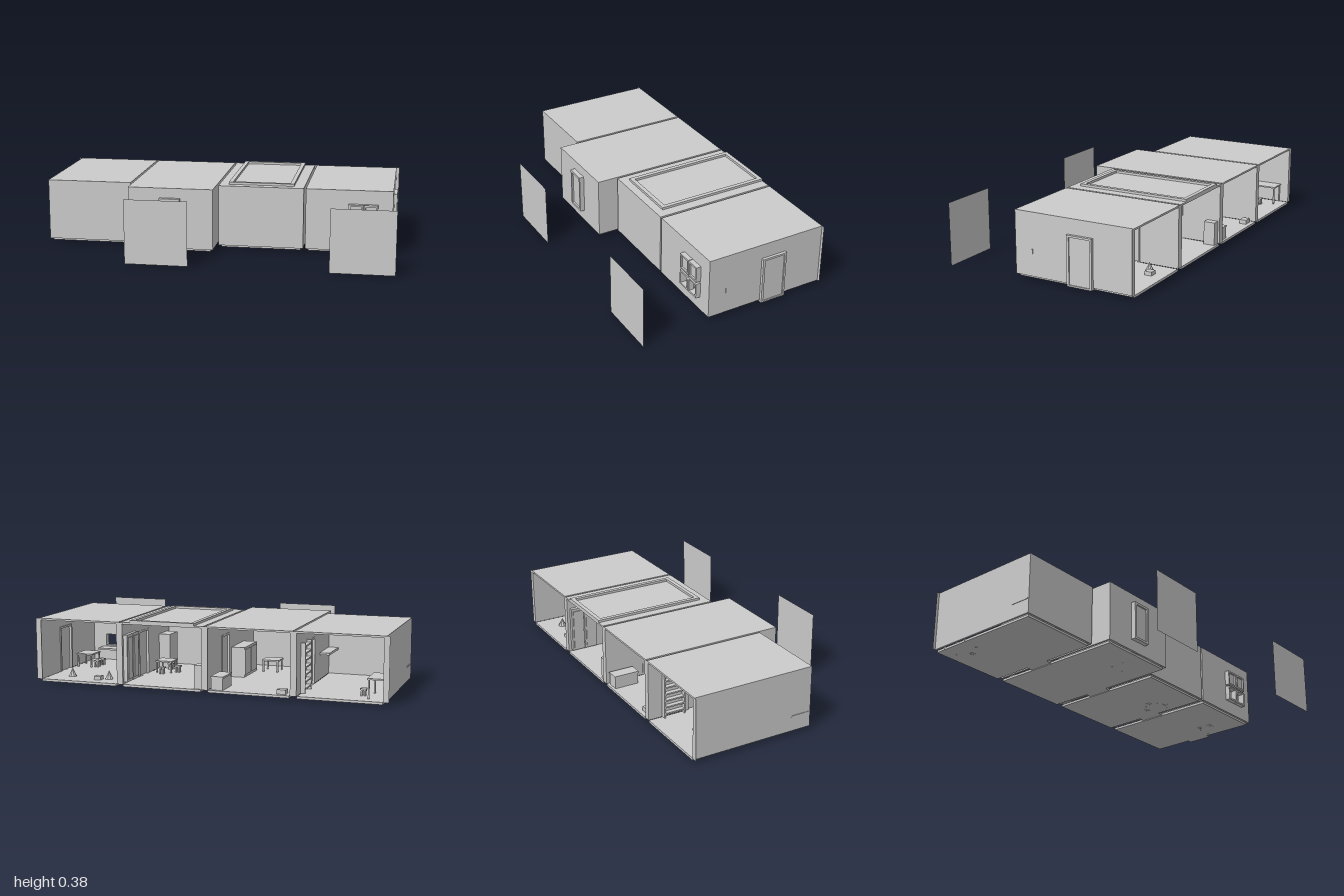
import * as THREE from 'three';

const grey = new THREE.MeshStandardMaterial({ color: 0xcccccc, flatShading: true, side: THREE.DoubleSide });
const BACK = -0.545, TOP = 0.362, T = 0.011;

// Box given by its min and max on each axis
function box(parent, name, x0, x1, y0, y1, z0, z1) {
  const m = new THREE.Mesh(new THREE.BoxGeometry(x1 - x0, y1 - y0, z1 - z0), grey);
  m.position.set((x0 + x1) / 2, (y0 + y1) / 2, (z0 + z1) / 2);
  m.name = name;
  parent.add(m);
  return m;
}

// Rectangular slab with rectangular holes, extruded along +z: rectangles are [u0, u1, v0, v1]
function slab(name, [u0, u1, v0, v1], holes, depth) {
  const trace = (p, a, b, c, d) => p.moveTo(a, c).lineTo(b, c).lineTo(b, d).lineTo(a, d).closePath();
  const shape = trace(new THREE.Shape(), u0, u1, v0, v1);
  for (const [a, b, c, d] of holes) shape.holes.push(trace(new THREE.Path(), a, b, c, d));
  const m = new THREE.Mesh(new THREE.ExtrudeGeometry(shape, { depth, bevelEnabled: false }), grey);
  m.name = name;
  return m;
}

// Slab standing across the x axis, from x to x + depth; u runs along z
function sideSlab(parent, name, x, z0, z1, y0, y1, holes, depth) {
  const m = slab(name, [-z1, -z0, y0, y1], holes.map(([a, b, c, d]) => [-b, -a, c, d]), depth);
  m.rotation.y = Math.PI / 2;
  m.position.x = x;
  parent.add(m);
}

function frontSlab(parent, name, rect, holes, z, depth) {
  const m = slab(name, rect, holes, depth);
  m.position.z = z;
  parent.add(m);
}

// Table: top slab on four legs that reach just through the floor
function table(parent, name, x, z, w, d, h) {
  const g = new THREE.Group();
  g.name = name;
  box(g, 'tableTop', x - w / 2, x + w / 2, h - 0.008, h, z - d / 2, z + d / 2);
  for (const sx of [-1, 1]) for (const sz of [-1, 1]) {
    const lx = x + sx * (w / 2 - 0.008), lz = z + sz * (d / 2 - 0.008);
    box(g, 'leg', lx - 0.004, lx + 0.004, 0.007, h - 0.008, lz - 0.004, lz + 0.004);
  }
  parent.add(g);
}

function stool(parent, x, z) {
  table(parent, 'stool', x, z, 0.034, 0.034, 0.06);
}

export function createModel() {
  const model = new THREE.Group();
  model.name = 'house';
  const doorHole = [-0.305, -0.183, 0.02, 0.268];

  // Four rooms, open at the back
  const rooms = [
    { x0: -0.984, x1: -0.503, zf: 0.147 },
    { x0: -0.49, x1: -0.012, zf: 0.262 },
    { x0: 0.0, x1: 0.478, zf: 0.147 },
    { x0: 0.49, x1: 0.969, zf: 0.147 },
  ];
  rooms.forEach(({ x0, x1, zf }, i) => {
    const g = new THREE.Group();
    g.name = 'room' + (i + 1);
    box(g, 'floor', x0 + 0.016, x1 - 0.014, 0.008, 0.021, BACK, zf - 0.014);
    box(g, 'roof', x0, x1, TOP - 0.01, TOP, BACK, zf);
    sideSlab(g, 'rightWall', x0, BACK, zf, 0.02, TOP - 0.01, i ? [doorHole] : [], T);
    sideSlab(g, 'leftWall', x1 - T, BACK, zf, 0.02, TOP - 0.01, [doorHole], T);
    const windowHoles = i === 3 ? [[0.737, 0.802, 0.108, 0.175], [0.815, 0.878, 0.108, 0.175]] : [];
    frontSlab(g, 'frontWall', [x0 + T, x1 - T, 0.02, TOP - 0.01], windowHoles, zf - T, T);
    model.add(g);
  });

  // Flat strips covering the cut wall ends
  for (const x of [-0.985, -0.497, -0.011, 0.481, 0.97]) {
    const strip = new THREE.Mesh(new THREE.PlaneGeometry(0.031, TOP - 0.02), grey);
    strip.position.set(x, (TOP + 0.02) / 2, BACK - 0.001);
    strip.name = 'wallEndStrip';
    model.add(strip);
  }

  // Doors between the rooms and out of the left side
  for (const x of [-0.4965, -0.006, 0.484, 0.972]) {
    const g = new THREE.Group();
    g.name = 'door';
    sideSlab(g, 'doorFrame', x - 0.019, -0.316, -0.17, 0.01, 0.279, [[-0.305, -0.183, 0.018, 0.268]], x > 0.9 ? 0.032 : 0.038);
    box(g, 'doorPanel', x - 0.006, x + 0.006, 0.012, 0.27, -0.307, -0.181);
    model.add(g);
  }
  box(model, 'doorbell', 0.966, 0.973, 0.14, 0.166, 0.042, 0.047);

  // Raised rim on the third roof
  const rim = slab('roofRim', [0.052, 0.42, -0.1, 0.545], [[0.075, 0.397, -0.077, 0.522]], 0.013);
  rim.rotation.x = -Math.PI / 2;
  rim.position.y = TOP;
  model.add(rim);

  // Tall window on the second room
  frontSlab(model, 'tallWindowFrame', [-0.31, -0.195, 0.085, 0.307], [[-0.297, -0.208, 0.098, 0.294]], 0.26, 0.028);
  box(model, 'tallWindowPane', -0.3, -0.205, 0.095, 0.297, 0.26, 0.279);

  // Paired windows on the fourth room: closed above, open below
  for (const [a, b] of [[0.727, 0.807], [0.811, 0.888]]) {
    for (const [c, d] of [[0.098, 0.185], [0.196, 0.285]])
      frontSlab(model, 'windowFrame', [a, b, c, d], [[a + 0.01, b - 0.01, c + 0.01, d - 0.01]], 0.146, 0.028);
    box(model, 'windowPane', a + 0.008, b - 0.008, 0.204, 0.277, 0.146, 0.164);
  }

  // Two free-standing flat panels far in front
  for (const [x0, x1, h] of [[-0.445, -0.1, 0.355], [0.655, 1.0, 0.347]]) {
    const p = new THREE.Mesh(new THREE.PlaneGeometry(x1 - x0, h), grey);
    p.position.set((x0 + x1) / 2, h / 2, 0.545);
    p.name = 'frontPanel';
    model.add(p);
  }

  // Room 1: slatted rack, wall shelf, desks
  const rack = new THREE.Group();
  rack.name = 'rack';
  for (const z of [-0.46, -0.34]) box(rack, 'rackPost', -0.54, -0.513, 0.02, 0.29, z - 0.004, z + 0.004);
  for (let i = 0; i < 7; i++) box(rack, 'rackShelf', -0.54, -0.513, 0.04 + i * 0.038, 0.048 + i * 0.038, -0.46, -0.34);
  model.add(rack);
  box(model, 'wallShelf', -0.57, -0.513, 0.16, 0.172, -0.07, 0.13);
  box(model, 'cornerDesk', -0.987, -0.88, 0.1, 0.108, 0.03, 0.14);
  table(model, 'desk', -0.925, -0.41, 0.1, 0.17, 0.13);
  stool(model, -0.84, -0.41);

  // Room 2: chest, cabinet, low box, small table
  box(model, 'chest', -0.105, -0.04, 0.02, 0.085, -0.53, -0.39);
  box(model, 'chestLid', -0.108, -0.037, 0.085, 0.095, -0.533, -0.387);
  box(model, 'cabinet', -0.1, -0.022, 0.02, 0.19, -0.15, 0.08);
  for (const z of [-0.095, 0.02]) box(model, 'cabinetDoor', -0.104, -0.1, 0.035, 0.178, z - 0.05, z + 0.05);
  box(model, 'lowBox', -0.45, -0.4, 0.02, 0.045, -0.52, -0.48);
  table(model, 'sideTable', -0.19, 0.1, 0.1, 0.1, 0.09);

  // Room 3: wall cupboard, side cabinet, crate, table with stools
  for (const z of [-0.49, -0.41]) {
    box(model, 'cupboard', 0.445, 0.468, 0.03, 0.29, z - 0.038, z + 0.038);
    box(model, 'cupboardDoor', 0.44, 0.445, 0.045, 0.275, z - 0.028, z + 0.028);
  }
  box(model, 'sideCabinet', 0.4, 0.468, 0.02, 0.22, -0.02, 0.1);
  box(model, 'crate', 0.012, 0.055, 0.02, 0.15, -0.535, -0.47);
  table(model, 'diningTable', 0.38, -0.12, 0.1, 0.1, 0.09);
  for (const [dx, dz] of [[-0.07, 0], [0, -0.07], [0, 0.07]]) stool(model, 0.38 + dx, -0.12 + dz);

  // Room 4: table with stools, counter, small floor objects
  table(model, 'table', 0.89, -0.09, 0.1, 0.12, 0.1);
  stool(model, 0.82, -0.12);
  stool(model, 0.82, -0.05);
  box(model, 'counter', 0.72, 0.9, 0.09, 0.1, 0.06, 0.137);
  for (const [x, z] of [[0.83, -0.42], [0.6, -0.43]]) {
    const cone = new THREE.Mesh(new THREE.ConeGeometry(0.024, 0.05, 8), grey);
    cone.position.set(x, 0.045, z);
    cone.name = 'floorCone';
    model.add(cone);
  }
  box(model, 'block', 0.63, 0.67, 0.02, 0.042, -0.48, -0.44);
  return model;
}
